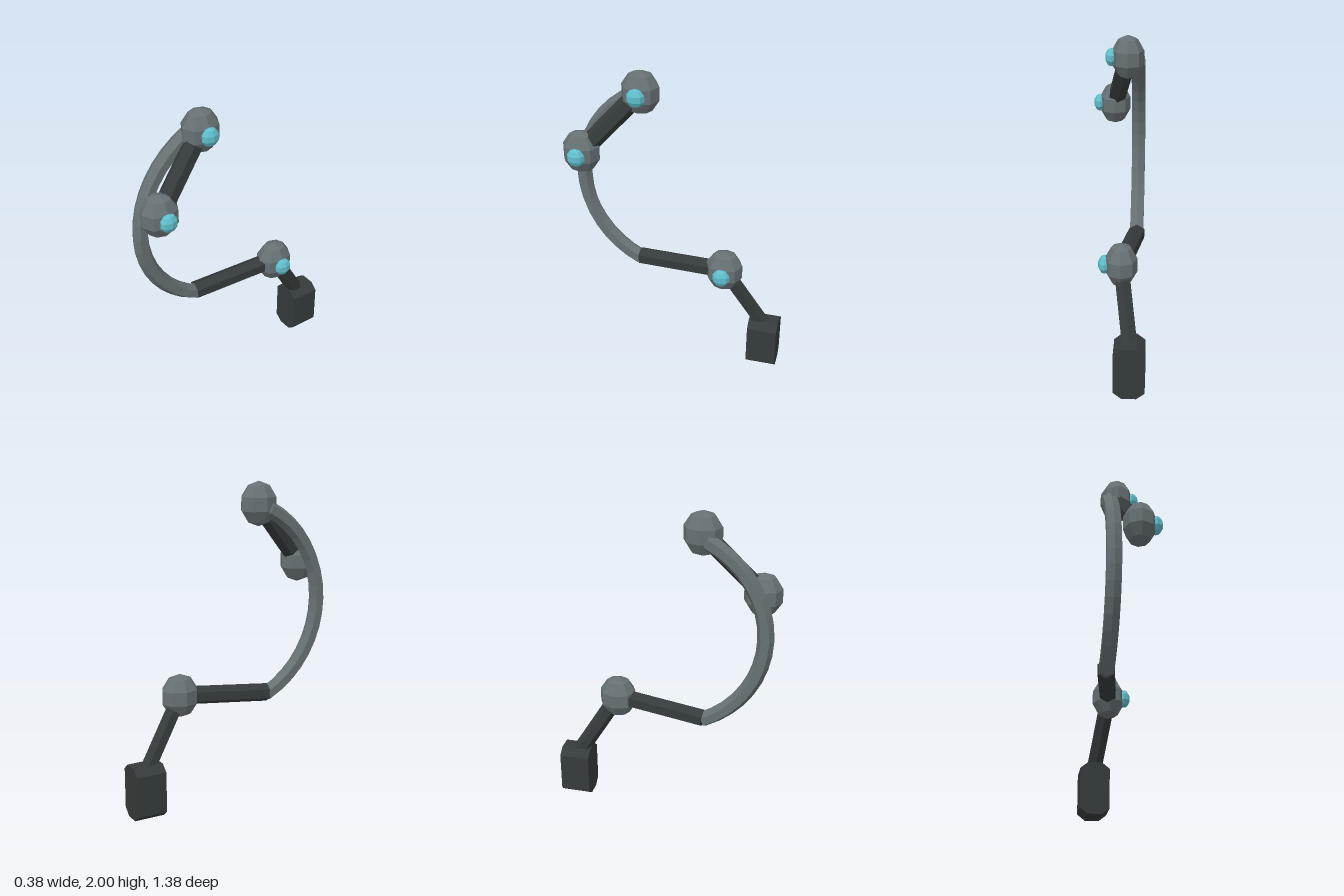
import * as THREE from 'three';
import { mergeGeometries } from 'three/addons/utils/BufferGeometryUtils.js';

export function createModel() {
  const model = new THREE.Group();
  model.name = 'jointedArm';

  const material = (name, color) => {
    const m = new THREE.MeshStandardMaterial({ color, flatShading: true });
    m.name = name;
    return m;
  };
  const darkMetal = material('darkMetal', 0x343b3a);
  const greyMetal = material('greyMetal', 0x667073);
  const cyanGlow = material('cyan', 0x5fbecb);

  const add = (name, geometry, mat, parent = model) => {
    const mesh = new THREE.Mesh(geometry, mat);
    mesh.name = name;
    parent.add(mesh);
    return mesh;
  };

  // Faceted ball; the widest ring lies at sin(72 deg) of the radius
  const ball = (rx, ry, rz) => {
    const k = Math.sin(Math.PI * 0.4);
    return new THREE.SphereGeometry(1, 8, 5).scale(rx / k, ry, rz / k);
  };

  // Six-sided rod between two points, with an edge in the side plane
  const rod = (name, a, b, radius) => {
    const dir = b.clone().sub(a);
    const length = dir.length();
    dir.normalize();
    const zAxis = new THREE.Vector3(1, 0, 0).cross(dir).normalize();
    const xAxis = dir.clone().cross(zAxis);
    const g = new THREE.CylinderGeometry(radius, radius, length, 6);
    g.applyMatrix4(new THREE.Matrix4().makeBasis(xAxis, dir, zAxis));
    const mid = a.clone().add(b).multiplyScalar(0.5);
    add(name, g.translate(mid.x, mid.y, mid.z), darkMetal);
  };

  // Joints, each with a stud on its left side
  const joints = {
    upperJoint: new THREE.Vector3(-0.05, 1.862, 0.217),
    tipJoint: new THREE.Vector3(0.047, 1.477, 0.57),
    lowerJoint: new THREE.Vector3(-0.033, 0.713, -0.326),
  };
  for (const [name, p] of Object.entries(joints)) {
    const joint = new THREE.Group();
    joint.name = name;
    joint.position.copy(p);
    add('jointBall', ball(0.1, 0.138, 0.117), greyMetal, joint);
    add('jointStud', ball(0.04, 0.058, 0.055), cyanGlow, joint).position.x = 0.1;
    model.add(joint);
  }

  // Rods
  rod('tipRod', joints.upperJoint, joints.tipJoint, 0.06);
  rod('middleRod', joints.lowerJoint, new THREE.Vector3(-0.112, 0.672, 0.25), 0.058);
  rod('footRod', joints.lowerJoint, new THREE.Vector3(-0.095, 0.31, -0.575), 0.052);

  // Curved arm: a six-sided arc with capped ends
  const R = 0.65, r = 0.051, half = 1.12;
  const startCap = new THREE.CircleGeometry(r, 6).rotateX(Math.PI / 2).translate(R, 0, 0);
  const endCap = new THREE.CircleGeometry(r, 6).rotateX(-Math.PI / 2).translate(R, 0, 0).rotateZ(2 * half);
  const arc = mergeGeometries([new THREE.TorusGeometry(R, r, 6, 16, 2 * half), startCap, endCap]);
  arc.rotateZ(-half).rotateY(-Math.PI / 2).translate(-0.11, 1.25, -0.033);
  add('curvedArm', arc, greyMetal);

  // Foot block with cut corners
  const w = 0.095, h = 0.336, cx = 0.05, cy = 0.04;
  const outline = new THREE.Shape([
    [-w + cx, 0], [w - cx, 0], [w, cy], [w, h - cy],
    [w - cx, h], [-w + cx, h], [-w, h - cy], [-w, cy],
  ].map(([x, y]) => new THREE.Vector2(x, y)));
  const foot = new THREE.ExtrudeGeometry(outline, { depth: 0.192, bevelEnabled: false });
  add('footBlock', foot.translate(-0.095, 0, -0.69), darkMetal);

  return model;
}
